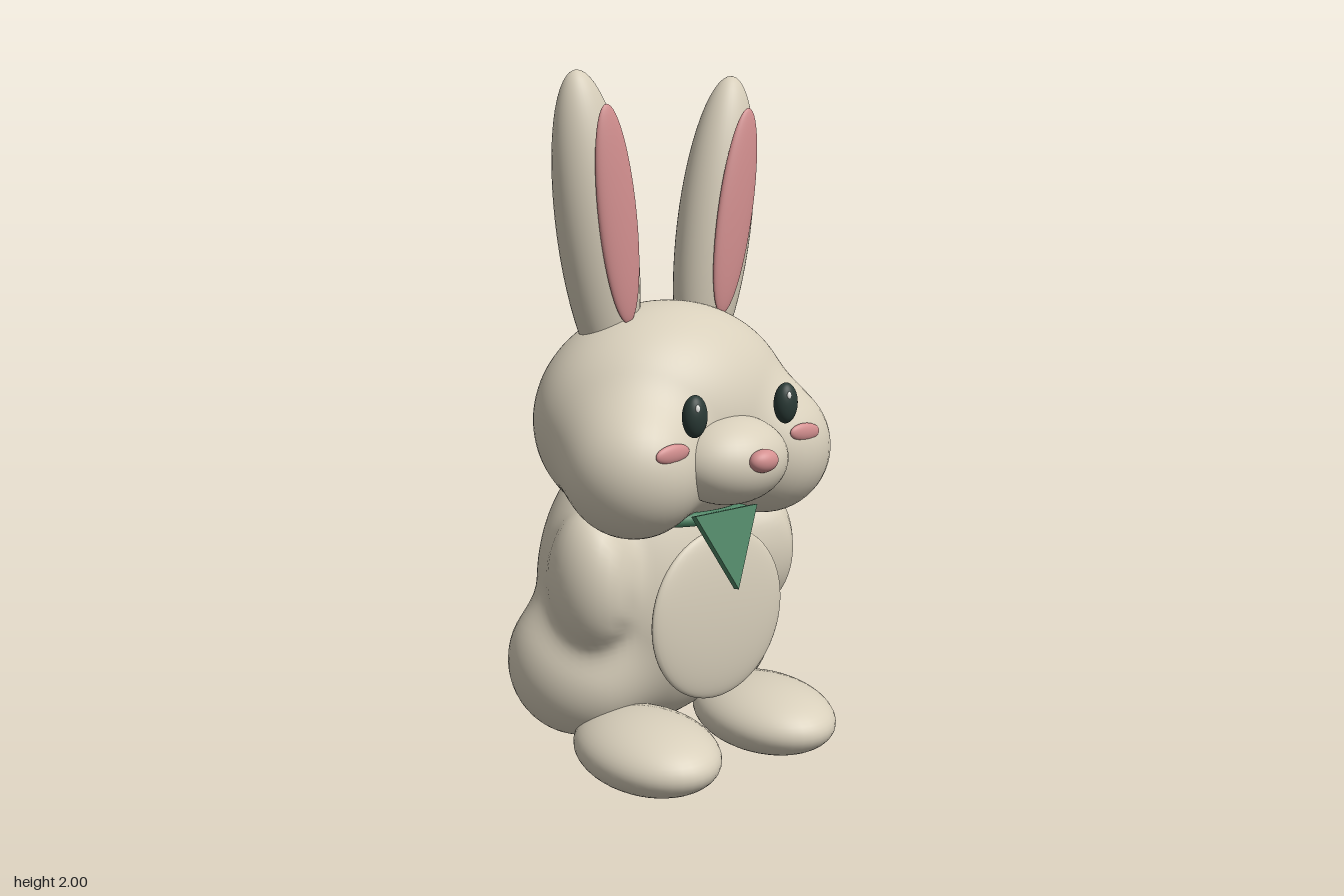
import * as THREE from 'three';
import { mergeVertices } from 'three/addons/utils/BufferGeometryUtils.js';

const mat = (name, color) => {
  const m = new THREE.MeshStandardMaterial({ color });
  m.name = name;
  return m;
};

// Approximate signed distance to an ellipsoid [cx,cy,cz, rx,ry,rz]
function ellipsoidDistance(p, [cx, cy, cz, rx, ry, rz]) {
  const x = p.x - cx, y = p.y - cy, z = p.z - cz;
  const k0 = Math.hypot(x / rx, y / ry, z / rz);
  const k1 = Math.hypot(x / rx ** 2, y / ry ** 2, z / rz ** 2);
  return k1 < 1e-6 ? -Math.min(rx, ry, rz) : k0 * (k0 - 1) / k1;
}

function smoothMin(a, b, k) {
  const h = Math.max(k - Math.abs(a - b), 0) / k;
  return Math.min(a, b) - h * h * k / 4;
}

// Soft union of ellipsoids: sphere vertices pushed out to the blended surface
function blendedGeometry(center, lobes, k) {
  let geo = new THREE.SphereGeometry(1, 96, 64);
  geo.deleteAttribute('uv');
  geo.deleteAttribute('normal');
  geo = mergeVertices(geo);
  const pos = geo.attributes.position;
  const dir = new THREE.Vector3(), p = new THREE.Vector3();
  const field = (r) => {
    p.copy(center).addScaledVector(dir, r);
    return lobes.map((l) => ellipsoidDistance(p, l)).reduce((a, b) => smoothMin(a, b, k));
  };
  for (let i = 0; i < pos.count; i++) {
    dir.fromBufferAttribute(pos, i).normalize();
    let r = 0.75;
    while (r > 0.02 && field(r) > 0) r -= 0.015;
    let lo = r, hi = r + 0.015;
    for (let j = 0; j < 10; j++) {
      const mid = (lo + hi) / 2;
      if (field(mid) > 0) hi = mid; else lo = mid;
    }
    p.copy(center).addScaledVector(dir, lo);
    pos.setXYZ(i, p.x, p.y, p.z);
  }
  geo.computeVertexNormals();
  return geo;
}

// Lobe repeated on both sides
const pair = ([x, ...rest]) => [[x, ...rest], [-x, ...rest]];

export function createModel() {
  const fur = mat('cream fur', 0xd8cfbb);
  const pink = mat('pink', 0xd49090);
  const green = mat('scarf green', 0x4f8566);
  const dark = mat('eye dark', 0x2a3a36);
  const white = mat('eye highlight', 0xf4f4f0);

  const model = new THREE.Group();
  model.name = 'rabbit';
  const add = (name, geo, material) => {
    const mesh = new THREE.Mesh(geo, material);
    mesh.name = name;
    model.add(mesh);
    return mesh;
  };
  const ball = new THREE.SphereGeometry(1, 40, 28);
  const ellipsoid = (name, material, c, r, tilt = 0, turn = 0) => {
    const mesh = add(name, ball, material);
    mesh.position.set(...c);
    mesh.scale.set(...r);
    mesh.rotation.set(0, turn, tilt);
    return mesh;
  };

  // Body with arms and thighs blended in
  add('body', blendedGeometry(new THREE.Vector3(0, 0.46, -0.05), [
    [0, 0.52, -0.05, 0.36, 0.45, 0.28],
    ...pair([0.31, 0.59, 0.08, 0.11, 0.2, 0.14]),
    ...pair([0.23, 0.295, -0.075, 0.22, 0.225, 0.225]),
  ], 0.06), fur);

  // Head with full cheeks blended in
  add('head', blendedGeometry(new THREE.Vector3(0, 1.0, 0.06), [
    [0, 1.025, 0.03, 0.41, 0.335, 0.32],
    ...pair([0.24, 0.93, 0.195, 0.2, 0.2, 0.2]),
  ], 0.07), fur);

  ellipsoid('muzzle', fur, [-0.01, 0.943, 0.33], [0.18, 0.125, 0.145]);
  ellipsoid('nose', pink, [-0.014, 0.964, 0.475], [0.047, 0.032, 0.029]);
  ellipsoid('belly', fur, [0, 0.48, 0.277], [0.242, 0.252, 0.038]);
  ellipsoid('tail', fur, [0, 0.338, -0.342], [0.163, 0.163, 0.163]);

  // Left and right parts
  for (const s of [1, -1]) {
    const side = s > 0 ? 'left' : 'right';
    ellipsoid(`${side}Foot`, fur, [s * 0.225, 0.11, 0.23], [0.185, 0.105, 0.25]);
    ellipsoid(`${side}Ear`, fur, [s * 0.215, 1.56, -0.005], [0.117, 0.445, 0.1], -s * 0.15);
    ellipsoid(`${side}InnerEar`, pink, [s * 0.214, 1.61, 0.091], [0.064, 0.3, 0.022], s > 0 ? -0.17 : 0.12);
    const eyeX = s > 0 ? 0.156 : -0.176;
    ellipsoid(`${side}Eye`, dark, [eyeX, 1.09, 0.378], [0.037, 0.058, 0.03]);
    ellipsoid(`${side}EyeHighlight`, white, [eyeX - 0.01, 1.115, 0.402], [0.007, 0.011, 0.005]);
    ellipsoid(`${side}Blush`, pink, [s > 0 ? 0.232 : -0.252, 0.998, 0.379], [0.056, 0.026, 0.014], -s * 0.06);
  }

  // Neck scarf: a flattened band and a hanging triangle
  const band = add('scarfBand', new THREE.TorusGeometry(1, 0.08, 12, 64), green);
  band.rotation.x = Math.PI / 2;
  band.scale.set(0.26, 0.25, 0.25);
  band.position.set(0, 0.768, 0.025);

  const triangle = new THREE.Shape([
    new THREE.Vector2(-0.115, 0), new THREE.Vector2(0, -0.225), new THREE.Vector2(0.115, 0),
  ]);
  const flap = add('scarfFlap', new THREE.ExtrudeGeometry(triangle, { depth: 0.02, bevelEnabled: false }), green);
  flap.position.set(0, 0.787, 0.292);
  flap.rotation.x = -0.24;

  return model;
}
